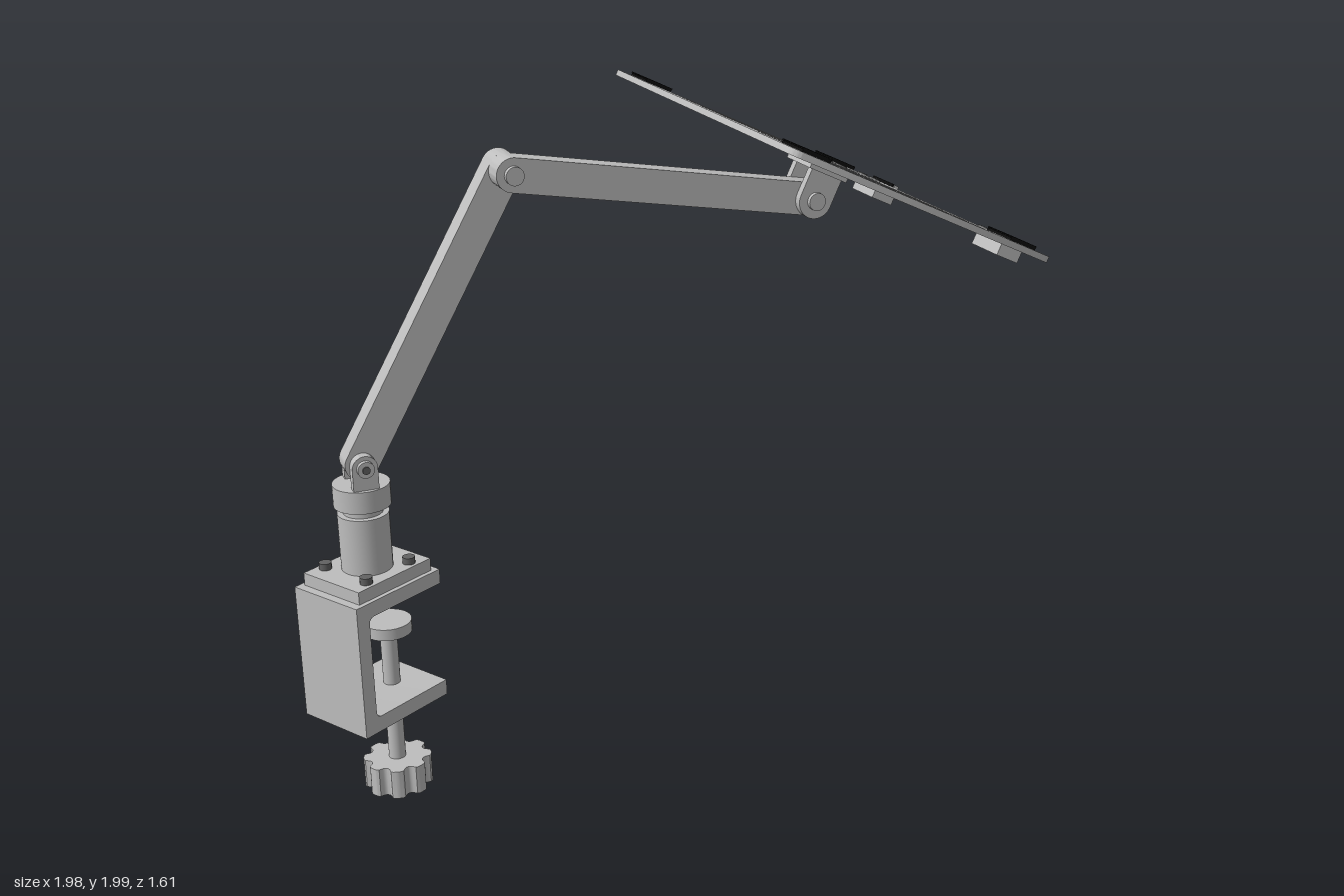
import * as THREE from 'three';
import { toCreasedNormals } from 'three/addons/utils/BufferGeometryUtils.js';

const mat = (name, color) => {
  const m = new THREE.MeshStandardMaterial({ color });
  m.name = name;
  return m;
};

export function createModel() {
  const metal = mat('brushed grey metal', 0xbebebe);
  const dark = mat('dark screw steel', 0x626262);
  const rubber = mat('black rubber', 0x0c0c0c);

  const add = (parent, name, geo, material, x = 0, y = 0, z = 0) => {
    const m = new THREE.Mesh(geo, material);
    m.name = name;
    m.position.set(x, y, z);
    parent.add(m);
    return m;
  };
  const group = (parent, name, x = 0, y = 0, z = 0) => {
    const g = new THREE.Group();
    g.name = name;
    g.position.set(x, y, z);
    parent.add(g);
    return g;
  };
  const box = (w, h, d) => new THREE.BoxGeometry(w, h, d);
  const disc = (r, h, n = 32) => new THREE.CylinderGeometry(r, r, h, n);
  const axle = (r, h) => disc(r, h, 24).rotateX(Math.PI / 2);
  // Extrusion centred on z = 0, with smooth curves and sharp edges
  const slab = (shape, depth) => {
    const g = new THREE.ExtrudeGeometry(shape, { depth, bevelEnabled: false, curveSegments: 12 });
    return toCreasedNormals(g.translate(0, 0, -depth / 2), 0.6);
  };
  // Slot outline along x, total length 2 * half
  const stadium = (C, cx, cy, half, r) => {
    const s = new C();
    s.absarc(cx + half - r, cy, r, -Math.PI / 2, Math.PI / 2, false);
    s.absarc(cx - half + r, cy, r, Math.PI / 2, Math.PI * 1.5, false);
    s.closePath();
    return s;
  };
  // Hinge ear: flat foot at y = 0, round end centred at y = h
  const ear = (r, h, t) => {
    const s = new THREE.Shape();
    s.moveTo(-r, 0);
    s.lineTo(r, 0);
    s.absarc(0, h, r, 0, Math.PI, false);
    s.closePath();
    return slab(s, t);
  };

  const model = new THREE.Group();
  model.name = 'clampArmStand';
  const px = -0.835, pz = -0.69;

  // Desk clamp: C-shaped bracket with filleted inside corners
  const clamp = group(model, 'clamp');
  const c = new THREE.Shape();
  c.moveTo(-1, 0.293);
  c.lineTo(-0.675, 0.293);
  c.lineTo(-0.675, 0.34);
  c.lineTo(-0.935, 0.34);
  c.quadraticCurveTo(-0.955, 0.34, -0.955, 0.36);
  c.lineTo(-0.955, 0.635);
  c.quadraticCurveTo(-0.955, 0.655, -0.935, 0.655);
  c.lineTo(-0.675, 0.655);
  c.lineTo(-0.675, 0.7);
  c.lineTo(-1, 0.7);
  c.closePath();
  add(clamp, 'clampBracket', slab(c, 0.248), metal, 0, 0, pz);

  // Clamp screw, pressure pad and fluted knob
  const sx = -0.775;
  add(clamp, 'clampScrew', disc(0.025, 0.44), metal, sx, 0.3, pz);
  add(clamp, 'pressurePad', disc(0.07, 0.035), metal, sx, 0.525, pz);
  const flutes = [];
  for (let i = 0; i < 96; i++) {
    const a = (i / 96) * Math.PI * 2;
    const r = 0.09 + 0.01 * Math.tanh(2.5 * Math.cos(8 * a) + 0.8);
    flutes.push(new THREE.Vector2(r * Math.cos(a), r * Math.sin(a)));
  }
  add(clamp, 'knob', slab(new THREE.Shape(flutes), 0.09).rotateX(-Math.PI / 2), metal, sx, 0.045, pz);

  // Base plate, corner bolts and swivel column
  const base = group(model, 'swivelBase', px, 0, pz);
  add(base, 'basePlate', box(0.28, 0.038, 0.22), metal, 0, 0.719, 0);
  for (const i of [-1, 1]) for (const j of [-1, 1])
    add(base, 'baseBolt', disc(0.018, 0.02, 16), dark, i * 0.083, 0.748, j * 0.082);
  add(base, 'column', disc(0.073, 0.17, 40), metal, 0, 0.822, 0);
  add(base, 'neck', disc(0.056, 0.03, 40), metal, 0, 0.918, 0);
  add(base, 'collar', disc(0.081, 0.065, 40), metal, 0, 0.963, 0);

  // Arm assembly: local x runs along the arm, local z is the hinge axis
  const arm = group(model, 'armAssembly', px, 0, pz);
  arm.rotation.y = -Math.PI / 6;
  const shoulder = [0, 1.06], elbow = [0.45, 1.845], wrist = [1.342, 1.69];
  const v2 = 0.07;

  for (const s of [-1, 1]) {
    add(arm, 'shoulderEar', ear(0.036, 0.07, 0.03), metal, 0, 0.99, s * 0.053);
    add(arm, 'shoulderPinHead', axle(0.024, 0.016), metal, 0, 1.06, s * 0.074);
    add(arm, 'shoulderPinCore', axle(0.011, 0.006), dark, 0, 1.06, s * 0.083);
  }
  add(arm, 'shoulderPin', axle(0.018, 0.13), metal, 0, 1.06, 0);

  // Two round-ended arm bars
  const bar = (name, a, b, z) => {
    const dx = b[0] - a[0], dy = b[1] - a[1], len = Math.hypot(dx, dy), r = 0.048;
    const shape = stadium(THREE.Shape, 0, 0, len / 2 + r, r);
    const m = add(arm, name, slab(shape, 0.07), metal, (a[0] + b[0]) / 2, (a[1] + b[1]) / 2, z);
    m.rotation.z = Math.atan2(dy, dx);
  };
  bar('lowerArm', shoulder, elbow, 0);
  bar('upperArm', elbow, wrist, v2);
  add(arm, 'elbowPin', axle(0.026, 0.172), metal, elbow[0], elbow[1], v2 / 2);
  add(arm, 'elbowPinCore', axle(0.012, 0.18), dark, elbow[0], elbow[1], v2 / 2 - 0.006);

  // Tilted tray: local x runs down the slope, y is its normal
  const tray = group(arm, 'tray', 1.389, 1.79, v2 - 0.005);
  tray.rotation.z = -25.3 * Math.PI / 180;
  const L = 0.438, W = 0.627, R = 0.035, T = 0.018;
  const plate = new THREE.Shape();
  plate.absarc(L - R, W - R, R, 0, Math.PI / 2, false);
  plate.absarc(-L + R, W - R, R, Math.PI / 2, Math.PI, false);
  plate.absarc(-L + R, -W + R, R, Math.PI, Math.PI * 1.5, false);
  plate.absarc(L - R, -W + R, R, Math.PI * 1.5, Math.PI * 2, false);
  plate.closePath();
  for (const s of [-1, 1]) for (let k = 0; k < 4; k++)
    plate.holes.push(stadium(THREE.Path, 0, s * (0.127 + 0.131 * k), 0.295, 0.035));
  add(tray, 'trayPlate', slab(plate, T).rotateX(-Math.PI / 2), metal);

  // Ribbed corner pads
  for (const i of [-1, 1]) for (const j of [-1, 1]) {
    add(tray, 'cornerPad', box(0.088, 0.008, 0.12), rubber, i * 0.35, 0.013, j * 0.53);
    for (let k = 0; k < 6; k++)
      add(tray, 'padRib', box(0.094, 0.005, 0.01), rubber, i * 0.35, 0.018, j * 0.53 + (k - 2.5) * 0.021);
  }

  // Front lips with their screws and rubber strips
  for (const j of [-1, 1]) {
    const lip = group(tray, 'frontLip', 0, 0, j * 0.368);
    add(lip, 'lipShelf', box(0.075, 0.036, 0.135), metal, 0.433, -0.027, 0);
    add(lip, 'lipWall', box(0.016, 0.062, 0.135), metal, 0.463, -0.014, 0);
    add(lip, 'lipStrip', box(0.008, 0.026, 0.125), rubber, 0.452, 0.006, 0);
    for (const s of [-1, 1])
      add(lip, 'lipScrew', disc(0.017, 0.006, 20), dark, 0.393, 0.01, s * 0.041);
  }

  // Centre screws and the tilt bracket under the tray
  for (const i of [-1, 1]) for (const j of [-1, 1])
    add(tray, 'centreScrew', disc(0.018, 0.006, 20), dark, i * 0.042, 0.01, j * 0.048);
  add(tray, 'tiltBracketPlate', box(0.13, 0.02, 0.15), metal, 0, -0.019, 0);
  for (const j of [-1, 1]) {
    const e = add(tray, 'tiltEar', ear(0.052, 0.09, 0.025), metal, 0, -0.02, 0.005 + j * 0.05);
    e.rotation.z = Math.PI;
    add(tray, 'tiltPinHead', axle(0.026, 0.014), metal, 0, -0.11, 0.005 + j * 0.069);
  }
  add(tray, 'tiltPin', axle(0.018, 0.12), metal, 0, -0.11, 0.005);

  return model;
}
